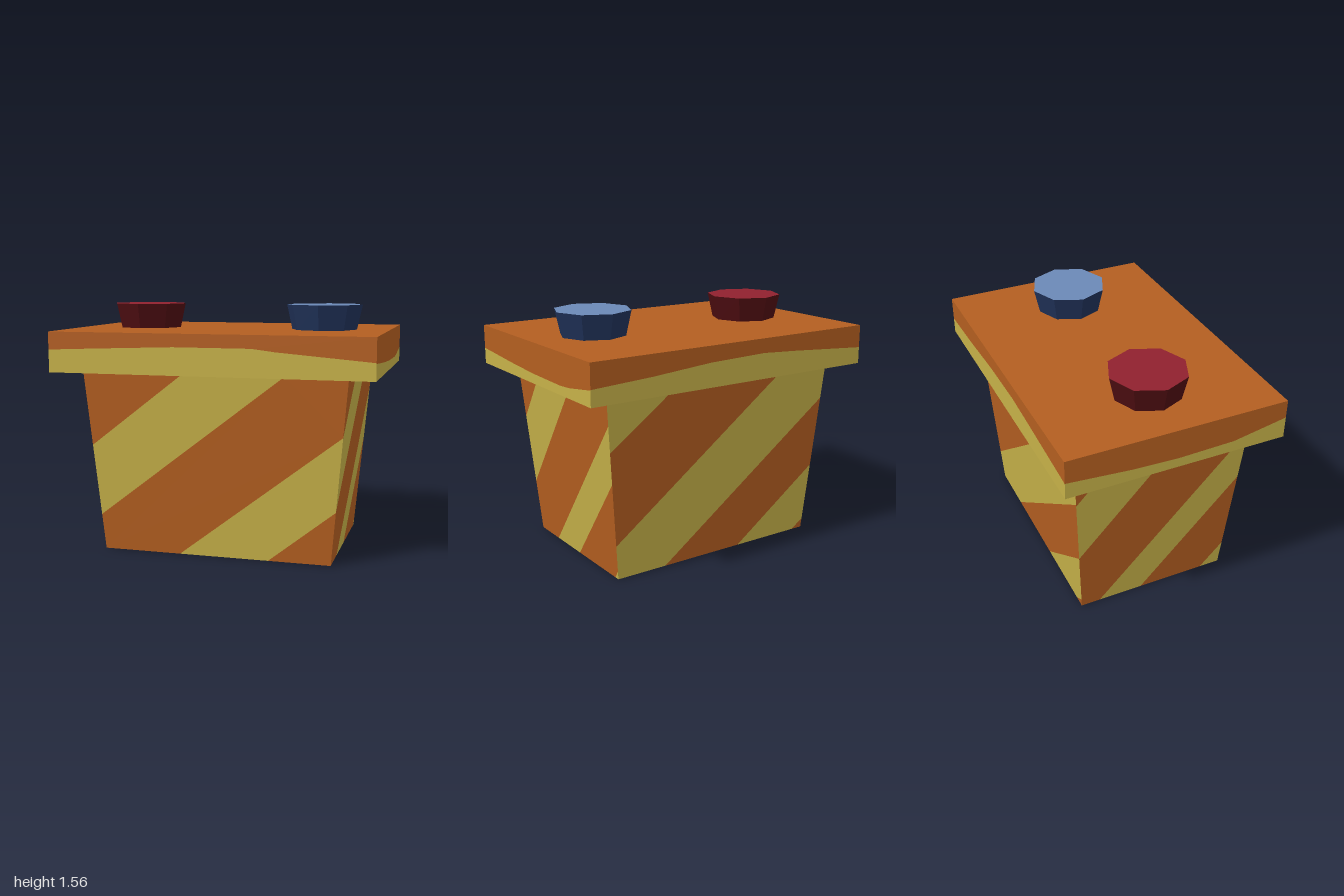
import * as THREE from 'three';

const mat = (name, color, side = THREE.FrontSide) => {
  const m = new THREE.MeshStandardMaterial({ color, side });
  m.name = name;
  return m;
};

// Keep the part of a convex polygon on one side of the line a-b
function clip(poly, [ax, ay, bx, by], sign) {
  const dist = ([x, y]) => sign * ((bx - ax) * (y - ay) - (by - ay) * (x - ax));
  const out = [];
  poly.forEach((p, i) => {
    const q = poly[(i + 1) % poly.length];
    const dp = dist(p), dq = dist(q);
    if (dp >= 0) out.push(p);
    if ((dp >= 0) !== (dq >= 0)) {
      const t = dp / (dp - dq);
      out.push([p[0] + t * (q[0] - p[0]), p[1] + t * (q[1] - p[1])]);
    }
  });
  return out;
}

// Flat mesh from a 2D outline, with depth z given as a function of height
function panel(name, outline, depth, material) {
  const geo = new THREE.ShapeGeometry(new THREE.Shape(outline.map(([x, y]) => new THREE.Vector2(x, y))));
  const pos = geo.attributes.position;
  for (let i = 0; i < pos.count; i++) pos.setZ(i, depth(pos.getY(i)));
  geo.computeVertexNormals();
  const mesh = new THREE.Mesh(geo, material);
  mesh.name = name;
  return mesh;
}

export function createModel() {
  const orange = mat('orange', 0xb35e20);
  const yellow = mat('mustard yellow', 0xc5b048);
  const redTop = mat('red', 0x90212e);
  const redSide = mat('dark red', 0x4e0d11);
  const blueTop = mat('light blue', 0x6b88b6);
  const blueSide = mat('navy blue', 0x203259);

  const model = new THREE.Group();
  model.name = 'stripedBox';
  const H = 1.15, LID = 1.4;
  const halfX = (y) => 0.73 + 0.087 * y;
  const halfZ = (y) => 0.495 + 0.061 * y;

  // Front, right-hand, back and left-hand walls: stripe borders from upper left
  // to lower right, and the wavy border of the lid band
  const sides = [
    { first: orange,
      cuts: [[-0.79, 0.68, -0.18, 1.15], [-0.745, 0.23, 0.45, 1.15], [-0.23, 0, 0.79, 0.79], [0.34, 0, 0.75, 0.33]],
      wave: [[-1, 1.29], [-0.7, 1.302], [-0.2, 1.32], [0.28, 1.32], [0.42, 1.303], [1, 1.255]] },
    { first: orange,
      cuts: [[-0.545, 0.79, -0.255, 1.15], [-0.515, 0.34, 0.15, 1.15], [-0.27, 0, 0.55, 0.98], [0.02, 0, 0.53, 0.62], [0.46, 0, 0.495, 0.05]],
      wave: [[-0.69, 1.25], [-0.3, 1.225], [0, 1.21], [0.35, 1.205], [0.45, 1.212], [0.69, 1.247]] },
    { first: yellow,
      cuts: [[-0.8, 0.82, -0.36, 1.15], [-0.75, 0.22, 0.46, 1.15], [-0.39, 0, 0.79, 0.9], [0.18, 0, 0.77, 0.45], [0.65, 0, 0.735, 0.06]],
      wave: [[-1, 1.25], [-0.6, 1.27], [-0.2, 1.3], [0.2, 1.31], [0.45, 1.295], [1, 1.255]] },
    { first: orange,
      cuts: [[-0.55, 0.9, -0.34, 1.15], [-0.52, 0.45, 0.06, 1.15], [-0.37, 0, 0.45, 0.98], [-0.08, 0, 0.53, 0.74], [0.36, 0, 0.51, 0.18]],
      wave: [[-0.69, 1.255], [-0.3, 1.222], [0, 1.21], [0.35, 1.22], [0.69, 1.285]] },
  ];

  sides.forEach(({ first, cuts, wave }, k) => {
    const side = new THREE.Group();
    side.name = ['front', 'leftHand', 'back', 'rightHand'][k] + 'Side';
    side.rotation.y = k * Math.PI / 2;
    const [width, depth] = k % 2 ? [halfZ, halfX] : [halfX, halfZ];

    // Tapered wall cut into alternating diagonal stripes
    let rest = [[-width(0), 0], [width(0), 0], [width(H), H], [-width(H), H]];
    let colour = first;
    for (const cut of cuts) {
      side.add(panel('wallStripe', clip(rest, cut, 1), depth, colour));
      rest = clip(rest, cut, -1);
      colour = colour === orange ? yellow : orange;
    }
    side.add(panel('wallStripe', rest, depth, colour));

    // Lid edge: yellow wave below, orange above
    const e = wave[wave.length - 1][0];
    const lidDepth = () => (k % 2 ? 1 : 0.69);
    side.add(panel('lidWave', [[-e, H], [e, H], ...[...wave].reverse()], lidDepth, yellow));
    side.add(panel('lidEdge', [...wave, [e, LID], [-e, LID]], lidDepth, orange));
    model.add(side);
  });

  // Horizontal faces
  const flat = (name, w, d, y, up) => {
    const mesh = new THREE.Mesh(new THREE.PlaneGeometry(w, d), orange);
    mesh.name = name;
    mesh.rotation.x = up ? -Math.PI / 2 : Math.PI / 2;
    mesh.position.y = y;
    model.add(mesh);
  };
  flat('bodyBottom', 1.46, 0.99, 0, false);
  flat('lidUnderside', 2, 1.38, H, false);
  flat('lidTop', 2, 1.38, LID, true);

  // Octagonal buttons flaring upwards, with lighter tops
  for (const [name, x, top, wall] of [['redButton', -0.585, redTop, redSide], ['blueButton', 0.585, blueTop, blueSide]]) {
    const geo = new THREE.CylinderGeometry(0.243, 0.208, 0.157, 8).toNonIndexed();
    geo.computeVertexNormals();
    const button = new THREE.Mesh(geo, [wall, top, wall]);
    button.name = name;
    button.position.set(x, LID + 0.0785, 0);
    model.add(button);
  }
  return model;
}
